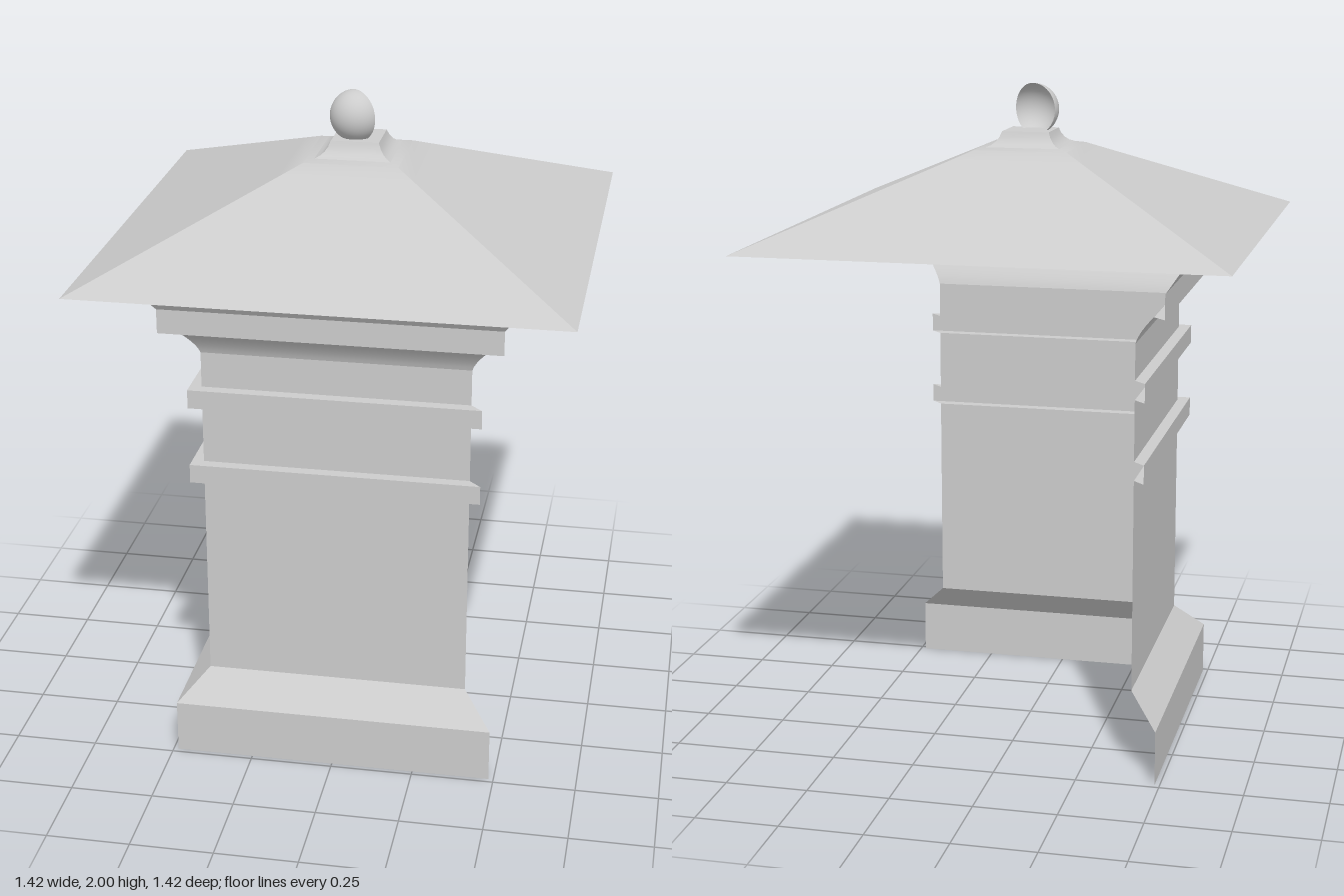
import * as THREE from 'three';
import { toCreasedNormals } from 'three/addons/utils/BufferGeometryUtils.js';

const material = new THREE.MeshStandardMaterial({ color: 0xcccccc, side: THREE.DoubleSide });

// Square moulding: sweeps a [halfWidth, y] profile along the given sides, mitred at the corners.
// Side angles are turns about y, with 0 facing the front.
function squareMoulding(name, profile, sideAngles, crease = 0.5) {
  const positions = [];
  const up = new THREE.Vector3(0, 1, 0);
  for (const angle of sideAngles) {
    for (let i = 0; i < profile.length - 1; i++) {
      const [w0, y0] = profile[i];
      const [w1, y1] = profile[i + 1];
      const [a, b, c, d] = [[-w0, y0, w0], [w0, y0, w0], [w1, y1, w1], [-w1, y1, w1]]
        .map((p) => new THREE.Vector3(...p).applyAxisAngle(up, angle));
      for (const p of [a, b, c, a, c, d]) positions.push(p.x, p.y, p.z);
    }
  }
  const geometry = new THREE.BufferGeometry();
  geometry.setAttribute('position', new THREE.Float32BufferAttribute(positions, 3));
  const mesh = new THREE.Mesh(toCreasedNormals(geometry, crease), material);
  mesh.name = name;
  return mesh;
}

// Points of a quadratic curve, as profile pairs
function curve(from, control, to, steps) {
  const v = (p) => new THREE.Vector2(...p);
  return new THREE.QuadraticBezierCurve(v(from), v(control), v(to))
    .getPoints(steps).map((p) => [p.x, p.y]);
}

export function createModel() {
  const model = new THREE.Group();
  model.name = 'pillar';

  const frontAndRight = [0, -Math.PI / 2];
  const allSides = [0, 1, 2, 3].map((i) => i * Math.PI / 2);
  const shaft = 0.397;
  const bandWidth = 0.432;

  // Plinth with a sloped top
  model.add(squareMoulding('plinth', [[0.485, 0], [0.485, 0.165], [shaft, 0.255]], frontAndRight));

  // Shaft with two raised bands
  const shaftProfile = [[shaft, 0.255]];
  for (const [bottom, top] of [[0.9, 0.957], [1.14, 1.197]]) {
    shaftProfile.push([shaft, bottom], [bandWidth, bottom], [bandWidth, top], [shaft, top]);
  }
  shaftProfile.push([shaft, 1.305]);
  model.add(squareMoulding('bandedShaft', shaftProfile, frontAndRight));

  // Cornice: concave flare, flat fascia, then a slope up to the roof
  model.add(squareMoulding('cornice', [
    ...curve([shaft, 1.305], [0.407, 1.34], [0.46, 1.397], 6),
    [0.497, 1.397], [0.497, 1.47], [0.567, 1.57],
  ], frontAndRight));

  // Pyramid roof, easing to a flat lip at the top
  model.add(squareMoulding('roof', [
    [0.71, 1.567], [0.2, 1.786], [0.14, 1.812], [0.11, 1.818],
  ], allSides));

  // Finial base: concave neck and square cap
  model.add(squareMoulding('finialNeck', curve([0.112, 1.818], [0.082, 1.825], [0.071, 1.862], 4), allSides));
  const cap = new THREE.Mesh(new THREE.PlaneGeometry(0.142, 0.142).rotateX(-Math.PI / 2), material);
  cap.name = 'finialCap';
  cap.position.y = 1.862;
  model.add(cap);

  // Open half ball facing the front
  const deg = Math.PI / 180;
  const ball = new THREE.Mesh(
    new THREE.SphereGeometry(0.077, 24, 24, -21 * deg, 167 * deg), material);
  ball.name = 'finialBall';
  ball.position.set(-0.008, 1.923, 0.003);
  model.add(ball);

  return model;
}
